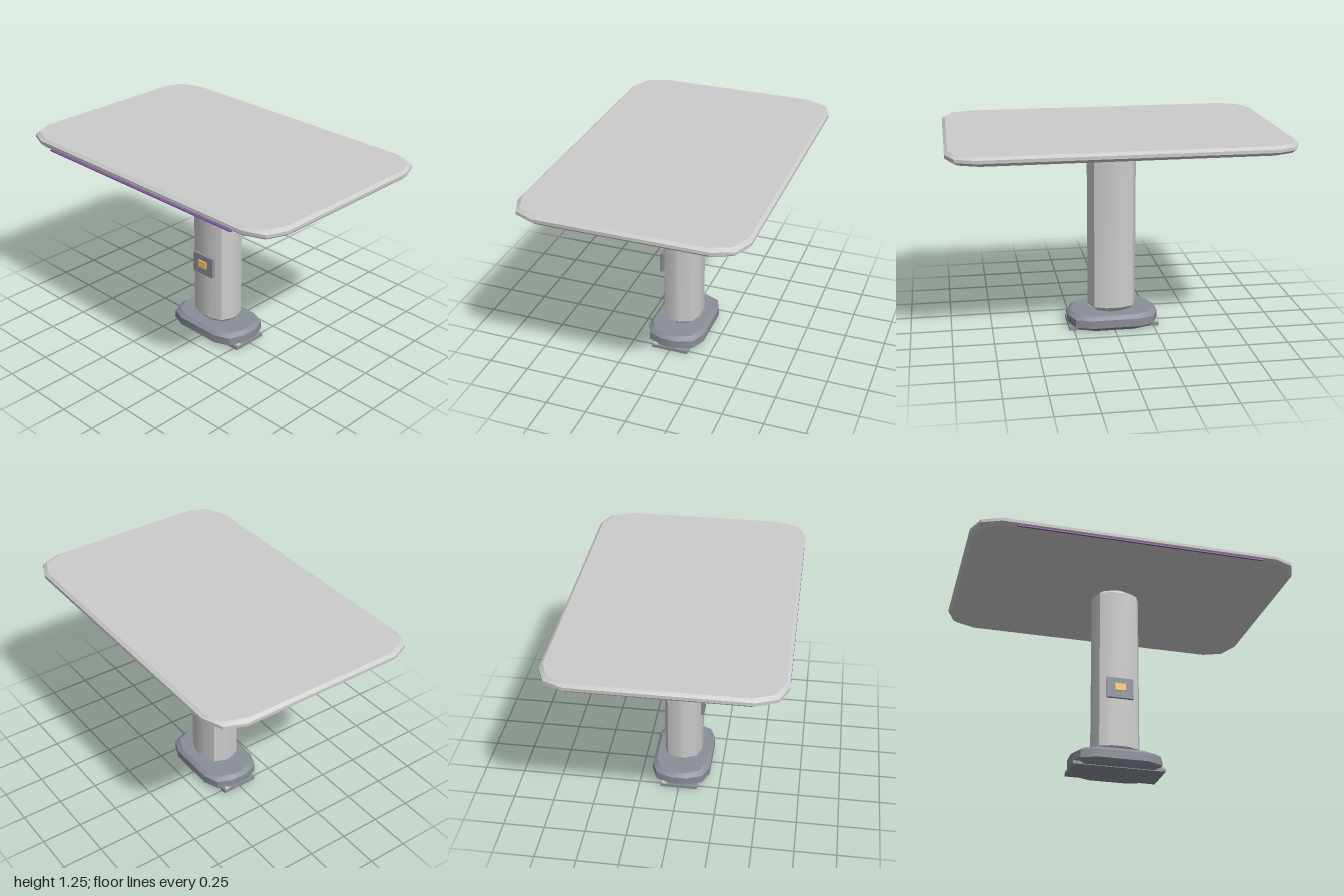
import * as THREE from 'three';
import { toCreasedNormals } from 'three/addons/utils/BufferGeometryUtils.js';

const material = (color) => new THREE.MeshStandardMaterial({ color });

// Rounded rectangle outline, two straight segments per corner.
function outline(hx, hz, r) {
  const points = [];
  const signs = [[1, 1], [-1, 1], [-1, -1], [1, -1]];
  signs.forEach(([sx, sz], corner) => {
    for (let i = 0; i <= 2; i++) {
      const a = corner * Math.PI / 2 + i * Math.PI / 4;
      points.push([sx * (hx - r) + r * Math.cos(a), sz * (hz - r) + r * Math.sin(a)]);
    }
  });
  return points;
}

// Stacks outlines into a solid; each level is [y, inset].
function chamferedSlab(hx, hz, r, levels) {
  const positions = [], index = [], n = 12, last = levels.length - 1;
  for (const [y, inset] of levels) {
    for (const [x, z] of outline(hx - inset, hz - inset, r)) positions.push(x, y, z);
  }
  for (let k = 0; k < last; k++) {
    for (let i = 0; i < n; i++) {
      const a = k * n + i, b = k * n + (i + 1) % n;
      index.push(a, a + n, b, b, a + n, b + n);
    }
  }
  const top = last * n;
  for (let i = 1; i < n - 1; i++) {
    index.push(0, i, i + 1);
    index.push(top, top + i + 1, top + i);
  }
  const geometry = new THREE.BufferGeometry();
  geometry.setAttribute('position', new THREE.Float32BufferAttribute(positions, 3));
  geometry.setIndex(index);
  return toCreasedNormals(geometry, 0.5);
}

export function createModel() {
  const model = new THREE.Group();
  const grey = material(0xcccccc);
  const slate = material(0x8a8e98);

  function add(name, geometry, mat, x = 0, y = 0, z = 0) {
    const mesh = new THREE.Mesh(geometry, mat);
    mesh.name = name;
    mesh.position.set(x, y, z);
    model.add(mesh);
    return mesh;
  }
  const box = (w, h, d) => new THREE.BoxGeometry(w, h, d);

  // Tabletop with chamfered rim
  add('tabletop', chamferedSlab(1, 0.665, 0.165,
    [[1.197, 0.02], [1.216, 0], [1.235, 0], [1.251, 0.018]]), grey);

  // Pedestal column
  add('column', chamferedSlab(0.148, 0.117, 0.1,
    [[0.1, 0.03], [0.135, 0], [1.165, 0], [1.2, 0.032]]), grey);

  // Foot
  add('base', chamferedSlab(0.28, 0.182, 0.13,
    [[0.004, 0.028], [0.03, 0], [0.08, 0], [0.102, 0.022]]), slate);
  add('floorPlate', box(0.56, 0.02, 0.23), slate, 0, 0.01, 0);

  // Small studs on opposite corners of the floor plate
  for (const s of [1, -1]) {
    add('plateStud', box(0.03, 0.012, 0.03), grey, s * 0.263, 0.025, s * 0.092);
  }

  // Control panel on the column front
  add('controlPanel', box(0.165, 0.13, 0.018), slate, 0, 0.503, 0.124);
  add('controlButton', box(0.064, 0.046, 0.009), material(0xffcc66), 0, 0.507, 0.137);

  // Light strip under the front edge
  add('lightStrip', box(1.5, 0.007, 0.012), material(0x8a55b0), 0, 1.2, 0.66);

  return model;
}
